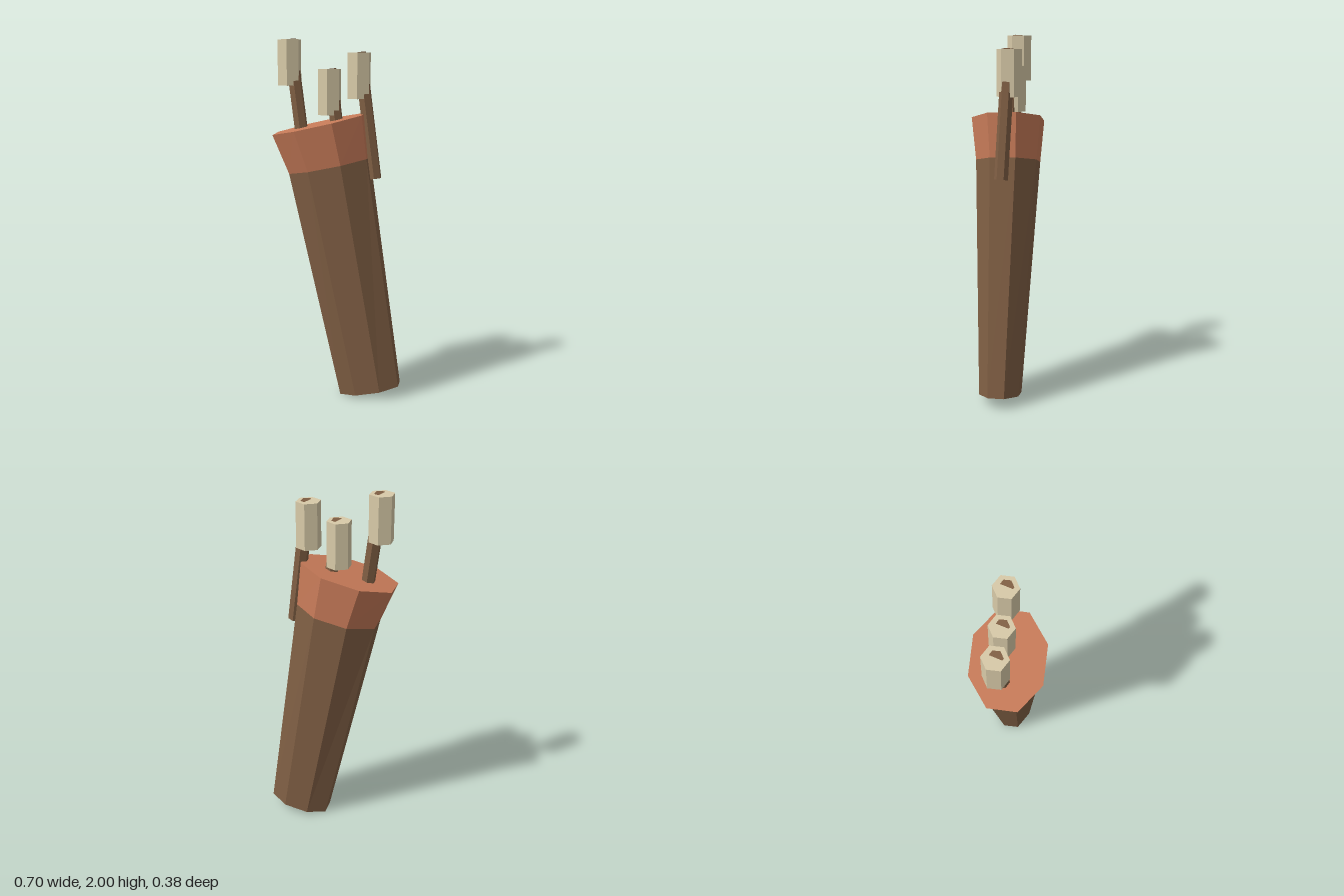
import * as THREE from 'three';

const mat = (name, color, flatShading = true) => {
  const m = new THREE.MeshStandardMaterial({ color, flatShading });
  m.name = name;
  return m;
};

// Leaning eight-sided ring: centre, x and z radii, rise of y along x and z
function ring({ c, rx, rz, sx, sz }) {
  return Array.from({ length: 8 }, (_, i) => {
    const t = (i + 0.5) * Math.PI / 4;
    const x = rx * Math.cos(t), z = rz * Math.sin(t);
    return new THREE.Vector3(c[0] + x, c[1] + sx * x + sz * z, c[2] + z);
  });
}

// Wall between two rings, closed at the bottom or the top
function loft(lowSpec, highSpec, cap) {
  const lo = ring(lowSpec), hi = ring(highSpec), pts = [];
  const bottom = new THREE.Vector3(...lowSpec.c), top = new THREE.Vector3(...highSpec.c);
  for (let i = 0; i < 8; i++) {
    const j = (i + 1) % 8;
    pts.push(lo[i], hi[i], lo[j], lo[j], hi[i], hi[j]);
    if (cap === 'bottom') pts.push(bottom, lo[i], lo[j]);
    if (cap === 'top') pts.push(top, hi[j], hi[i]);
  }
  const g = new THREE.BufferGeometry().setFromPoints(pts);
  g.computeVertexNormals();
  return g;
}

export function createModel() {
  const model = new THREE.Group();
  model.name = 'arrowQuiver';
  const brown = mat('brown', 0x805f44);
  const copper = mat('copper', 0xc67a58);
  const cream = mat('cream', 0xd8caa8);

  const add = (parent, name, geometry, material) => {
    const mesh = new THREE.Mesh(geometry, material);
    mesh.name = name;
    parent.add(mesh);
    return mesh;
  };

  // Quiver body and flared collar
  const base = { c: [0.185, 0.037, 0], rx: 0.179, rz: 0.118, sx: 0.195, sz: 0 };
  const neck = { c: [-0.05, 1.315, -0.009], rx: 0.233, rz: 0.181, sx: 0.21, sz: -0.02 };
  const rim = { c: [-0.106, 1.543, 0], rx: 0.268, rz: 0.205, sx: 0.226, sz: -0.04 };
  add(model, 'quiverBody', loft(base, neck, 'bottom'), brown);
  add(model, 'quiverCollar', loft(neck, rim, 'top'), copper);

  // Arrows: leaning shafts whose tips just break the top of upright fletchings
  const shaftTop = new THREE.Vector3(0.003, 0, 0.002);
  const shaftEnd = new THREE.Vector3(0.095, -0.685, 0.029);
  const axis = shaftTop.clone().sub(shaftEnd);
  const length = axis.length();
  const shaftGeo = new THREE.CylinderGeometry(0.0375, 0.0375, length, 6);
  const fletchGeo = new THREE.CylinderGeometry(0.0675, 0.0675, 0.25, 6);
  for (const [x, y] of [[-0.28, 2], [-0.056, 1.84], [0.109, 1.93]]) {
    const arrow = new THREE.Group();
    arrow.name = 'arrow';
    arrow.position.set(x, y, -0.036);
    const shaft = add(arrow, 'arrowShaft', shaftGeo, brown);
    shaft.position.copy(shaftTop).add(shaftEnd).multiplyScalar(0.5);
    shaft.quaternion.setFromUnitVectors(new THREE.Vector3(0, 1, 0), axis.clone().normalize());
    add(arrow, 'fletching', fletchGeo, cream).position.y = -0.125;
    model.add(arrow);
  }
  return model;
}
